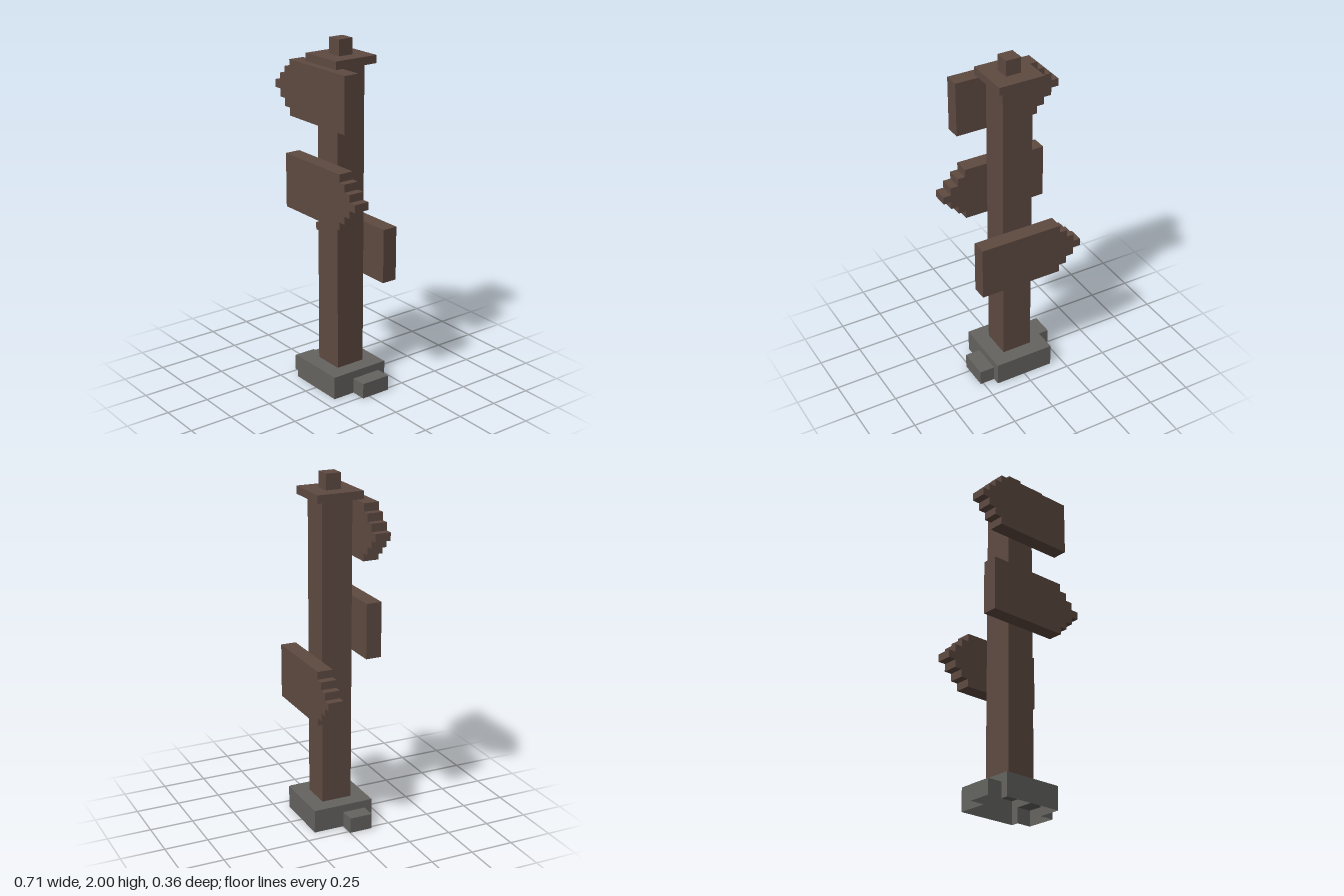
import * as THREE from 'three';

const U = 2 / 45; // one block unit

export function createModel() {
  const wood = new THREE.MeshStandardMaterial({ color: 0x5e4a41 });
  wood.name = 'dark wood';
  const stone = new THREE.MeshStandardMaterial({ color: 0x646360, side: THREE.DoubleSide });
  stone.name = 'grey stone';

  const model = new THREE.Group();
  model.name = 'signpost';

  const add = (parent, name, geometry, material) => {
    const mesh = new THREE.Mesh(geometry, material);
    mesh.name = name;
    parent.add(mesh);
    return mesh;
  };

  // Square block centred on the post axis, from y0 to y1 in units
  const block = (name, width, y0, y1) => {
    const geometry = new THREE.BoxGeometry(width * U, (y1 - y0) * U, width * U);
    add(model, name, geometry, wood).position.y = (y0 + y1) / 2 * U;
  };
  block('post', 4, 3, 42);
  block('cap', 6, 42, 43);
  block('finial', 2, 43, 45);

  // Arrow board with a stepped point; dir is the x direction it points in
  const half = [[5, 3.5], [6, 2.5], [7, 1.5], [8, 0.5]];
  const upper = [[-6, 3.5]];
  half.forEach(([x, h], i) => {
    if (i) upper.push([half[i - 1][0], h]);
    upper.push([x, h]);
  });
  const outline = [...upper, ...upper.map(([x, y]) => [x, -y]).reverse()];
  const arrow = (name, dir, centreY, z0) => {
    const points = outline.map(([x, y]) => new THREE.Vector2(dir * x * U, y * U));
    const geometry = new THREE.ExtrudeGeometry(new THREE.Shape(points), { depth: 2 * U, bevelEnabled: false });
    add(model, name, geometry, wood).position.set(0, centreY * U, z0 * U);
  };
  arrow('upperSign', -1, 38.5, 2);
  arrow('middleSign', 1, 26.5, 2);
  arrow('lowerSign', -1, 18.5, -4);

  // Stone base: a shell open underneath, with a lower stone on each side
  const base = new THREE.Group();
  base.name = 'base';
  model.add(base);

  const walls = (name, corners, y0, y1) => {
    corners.forEach(([x0, z0], i) => {
      const [x1, z1] = corners[(i + 1) % corners.length];
      const geometry = new THREE.PlaneGeometry(Math.hypot(x1 - x0, z1 - z0) * U, (y1 - y0) * U);
      const wall = add(base, name, geometry, stone);
      wall.position.set((x0 + x1) / 2 * U, (y0 + y1) / 2 * U, (z0 + z1) / 2 * U);
      wall.rotation.y = Math.atan2(z0 - z1, x1 - x0);
    });
  };
  const top = (name, x0, x1, z0, z1, y) => {
    const geometry = new THREE.PlaneGeometry((x1 - x0) * U, (z1 - z0) * U).rotateX(-Math.PI / 2);
    add(base, name, geometry, stone).position.set((x0 + x1) / 2 * U, y * U, (z0 + z1) / 2 * U);
  };
  walls('lowerBaseWall', [
    [-4, 4], [4, 4], [4, 1], [6, 1], [6, -3], [4, -3],
    [4, -4], [-4, -4], [-4, 0], [-6, 0], [-6, 3], [-4, 3],
  ], 0, 2);
  walls('upperBaseWall', [[-4, 4], [4, 4], [4, -4], [-4, -4]], 2, 3);
  top('baseTop', -4, 4, -4, 4, 3);
  top('leftStoneTop', 4, 6, -3, 1, 2);
  top('rightStoneTop', -6, -4, 0, 3, 2);

  return model;
}
